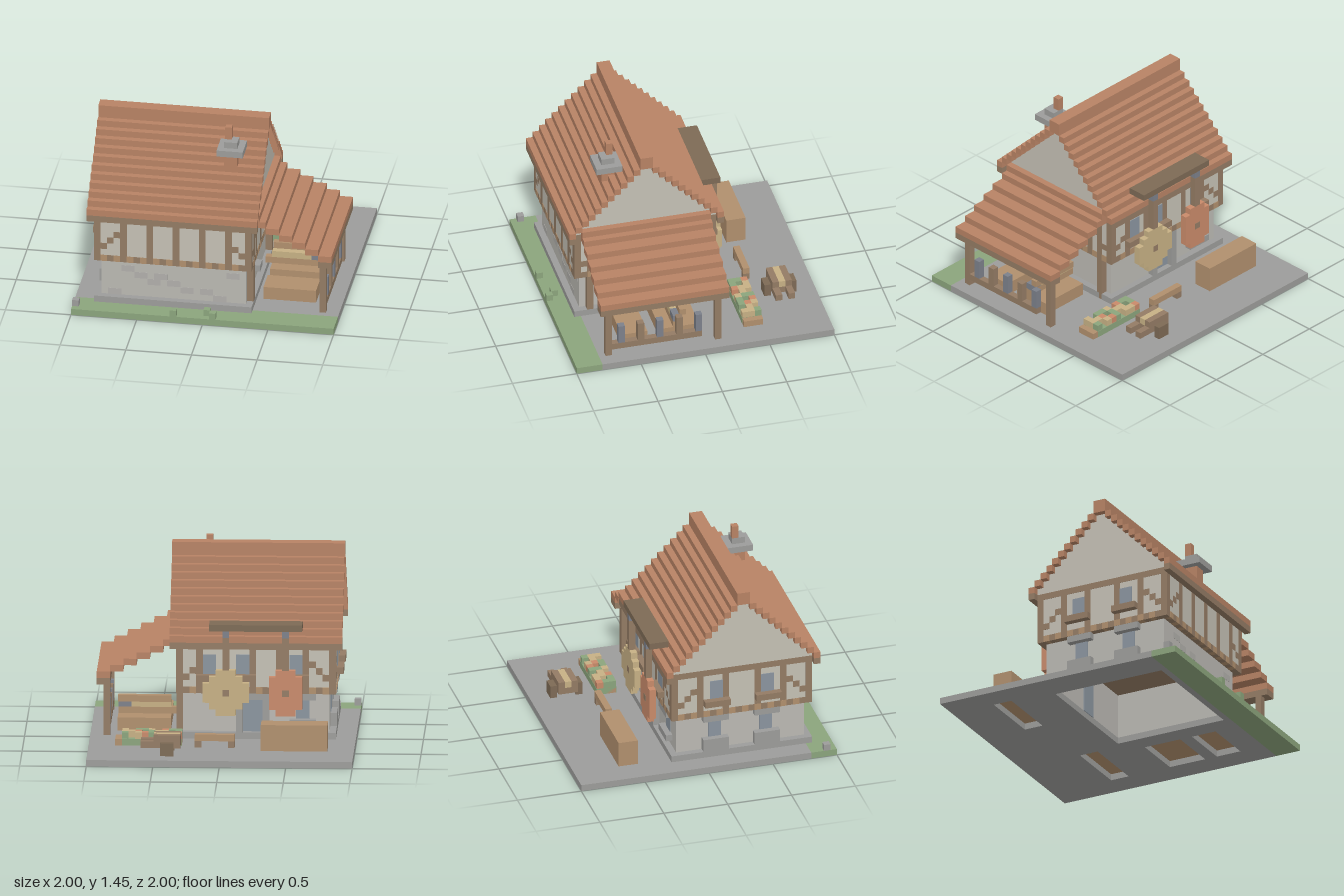
import * as THREE from 'three';

const C = {
  stone: 0xbab8b2, stoneDark: 0xb0aeaa, slab: 0x9c9c9a, grass: 0x8ba47c, plaster: 0xc4c0b4,
  timber: 0x937b64, wood: 0xb08f6d, dark: 0x7d6a55, roof: 0xb78264, straw: 0xc6b084,
  steel: 0x7c808a, coral: 0xc88a6a, glass: 0x8a949e,
};
const mats = {};
const mat = (k) => (mats[k] ??= new THREE.MeshStandardMaterial({ color: C[k], flatShading: true }));

// rectangle traced on the ground plane (shape y is -z)
const trace = (path, x0, x1, z0, z1) => {
  path.moveTo(x0, -z1);
  path.lineTo(x1, -z1);
  path.lineTo(x1, -z0);
  path.lineTo(x0, -z0);
  path.closePath();
  return path;
};

export function createModel() {
  const root = new THREE.Group();
  let group = root;
  const part = (name) => { group = new THREE.Group(); group.name = name; root.add(group); };
  // block given by its two corners on each axis
  const box = (name, k, x0, x1, y0, y1, z0, z1) => {
    const m = new THREE.Mesh(new THREE.BoxGeometry(x1 - x0, y1 - y0, z1 - z0), mat(k));
    m.position.set((x0 + x1) / 2, (y0 + y1) / 2, (z0 + z1) / 2);
    m.name = name;
    group.add(m);
  };
  const cube = (name, k, x, y, z) => box(name, k, x, x + 0.05, y, y + 0.05, z, z + 0.05);

  // ground slab, open beneath the house and the larger objects
  part('ground');
  const outline = trace(new THREE.Shape(), -1, 1, -1, 0.8);
  outline.holes = [
    [-0.75, 0.25, -0.15, 0.75], [0.4, 0.8, 0, 0.3], [0.4, 0.8, 0.4, 0.6],
    [-0.8, -0.3, -0.65, -0.5], [0.3, 0.8, -0.5, -0.35],
  ].map((r) => trace(new THREE.Path(), ...r));
  const paving = new THREE.Mesh(new THREE.ExtrudeGeometry(outline, { depth: 0.05, bevelEnabled: false }), mat('slab'));
  paving.rotation.x = -Math.PI / 2;
  paving.name = 'paving';
  group.add(paving);
  box('grassStrip', 'grass', -1, 1, 0, 0.05, 0.8, 1);
  cube('rock', 'slab', -1, 0.05, 0.9);
  [[-0.25, 0.95], [0, 0.9], [0.05, 0.95]].forEach(([x, z]) => cube('grassTuft', 'grass', x, 0.05, z));

  // hollow stone storey with footing
  part('stoneStorey');
  box('frontWall', 'stone', -0.8, 0.3, 0.05, 0.4, 0.75, 0.8);
  box('backWall', 'stone', -0.8, 0.3, 0.05, 0.4, -0.2, -0.15);
  box('leftWall', 'stone', 0.25, 0.3, 0.05, 0.4, -0.15, 0.75);
  box('rightWall', 'stone', -0.8, -0.75, 0.05, 0.4, -0.15, 0.75);
  for (const [z0, z1] of [[0.8, 0.85], [-0.25, -0.2]]) box('footing', 'slab', -0.85, 0.35, 0.05, 0.1, z0, z1);
  for (const [x0, x1] of [[0.3, 0.35], [-0.85, -0.8]]) box('footing', 'slab', x0, x1, 0.05, 0.1, -0.2, 0.8);
  for (let i = 0; i < 10; i++) {
    const x = -0.75 + ((i * 7) % 19) * 0.05, y = 0.1 + ((i * 3) % 5) * 0.05;
    box('darkStone', 'stoneDark', x, x + 0.1, y, y + 0.05, 0.78, 0.802);
  }

  // timber-framed storey
  part('timberStorey');
  box('plaster', 'plaster', -0.848, 0.348, 0.41, 0.8, -0.248, 0.848);
  box('lowerBeam', 'timber', -0.85, 0.35, 0.4, 0.45, -0.25, 0.85);
  box('upperBeam', 'timber', -0.85, 0.35, 0.75, 0.8, -0.25, 0.85);
  for (let i = 0; i < 12; i++) {
    const x = -0.8 + i * 0.1;
    if (x < 0.3) for (const z of [-0.252, 0.802]) box('joistEnd', 'wood', x, x + 0.05, 0.4, 0.45, z, z + 0.05);
    const z = -0.2 + i * 0.1;
    if (z < 0.8) for (const sx of [-0.852, 0.302]) box('joistEnd', 'wood', sx, sx + 0.05, 0.4, 0.45, z, z + 0.05);
  }
  for (const z of [-0.25, 0.8]) {
    for (const x of [-0.85, -0.65, -0.45, -0.25, -0.05, 0.15, 0.3]) box('stud', 'timber', x, x + 0.05, 0.45, 0.75, z, z + 0.05);
    [0, 1, 2].forEach((i) => {
      cube('brace', 'timber', -0.8 + i * 0.05, 0.5 + i * 0.05, z);
      if (i < 2) cube('brace', 'timber', 0.25 - i * 0.05, 0.5 + i * 0.05, z);
    });
  }
  for (const x of [-0.85, 0.3]) {
    for (const z of [-0.05, 0.15, 0.4, 0.6]) box('stud', 'timber', x, x + 0.05, 0.45, 0.75, z, z + 0.05);
    [0, 1, 2].forEach((i) => {
      cube('brace', 'timber', x, 0.5 + i * 0.05, -0.2 + i * 0.05);
      cube('brace', 'timber', x, 0.5 + i * 0.05, 0.75 - i * 0.05);
    });
  }

  // windows and door
  part('openings');
  for (const z of [0.05, 0.45]) {
    box('upperWindow', 'glass', -0.853, -0.84, 0.55, 0.7, z, z + 0.1);
    box('windowSill', 'timber', -0.9, -0.85, 0.5, 0.55, z - 0.05, z + 0.15);
    box('lowerWindow', 'glass', -0.805, -0.745, 0.2, 0.35, z, z + 0.1);
    box('lintel', 'slab', -0.85, -0.8, 0.35, 0.4, z - 0.05, z + 0.15);
    box('stoneSill', 'slab', -0.85, -0.8, 0.1, 0.2, z - 0.05, z + 0.15);
  }
  for (const x of [-0.6, -0.2, 0.05]) {
    box('upperWindow', 'glass', x, x + 0.1, 0.55, 0.7, -0.253, -0.24);
    box('windowSill', 'timber', x - 0.05, x + 0.15, 0.5, 0.55, -0.3, -0.25);
  }
  box('door', 'glass', -0.3, -0.15, 0.05, 0.35, -0.206, -0.145);
  for (const x of [-0.35, -0.15]) box('doorJamb', 'slab', x, x + 0.05, 0.1, 0.35, -0.25, -0.2);
  box('doorLintel', 'slab', -0.35, -0.1, 0.35, 0.4, -0.25, -0.2);
  box('lowerWindow', 'glass', -0.65, -0.55, 0.2, 0.35, -0.206, -0.145);
  box('stoneSill', 'slab', -0.7, -0.5, 0.15, 0.2, -0.25, -0.2);
  box('lintel', 'slab', -0.7, -0.5, 0.35, 0.4, -0.25, -0.2);
  box('workshopSill', 'slab', 0.3, 0.35, 0.2, 0.25, 0.35, 0.45);

  // stepped main roof with gables filling it row by row
  part('mainRoof');
  for (let i = 0; i < 11; i++) {
    const y = 0.8 + i * 0.05, o = 0.6 - i * 0.05;
    for (const z of [0.25 + o, 0.3 - o]) {
      box('shingleRow', 'roof', -0.9, 0.4, y, y + 0.05, z, z + 0.05);
      if (!i) box('eaveBoard', 'timber', -0.9, 0.4, 0.75, 0.8, z, z + 0.05);
    }
    box('gable', 'plaster', -0.85, 0.35, y, y + 0.05, 0.35 - o, 0.25 + o);
  }
  box('ridge', 'roof', -0.9, 0.4, 1.35, 1.45, 0.25, 0.35);

  part('chimney');
  box('stack', 'roof', 0.1, 0.2, 1.1, 1.25, 0.5, 0.6);
  box('cap', 'slab', 0.05, 0.25, 1.25, 1.3, 0.45, 0.65);
  box('collar', 'slab', 0.1, 0.2, 1.3, 1.35, 0.5, 0.6);
  box('pot', 'roof', 0.1, 0.15, 1.35, 1.45, 0.5, 0.55);

  // lean-to workshop
  part('leanTo');
  box('topRow', 'roof', 0.35, 0.45, 0.75, 0.8, -0.2, 0.8);
  box('flashing', 'roof', 0.35, 0.4, 0.8, 0.85, -0.2, 0.8);
  for (let i = 0; i < 5; i++) {
    const x = 0.45 + i * 0.1, y = 0.7 - i * 0.05;
    box('shingleRow', 'roof', x, x + 0.1, y, y + 0.05, -0.2, 0.8);
  }
  box('lowerEave', 'timber', 0.85, 0.95, 0.45, 0.5, -0.2, 0.8);
  for (const z of [-0.15, 0.7]) {
    box('post', 'timber', 0.85, 0.9, 0.05, 0.45, z, z + 0.05);
    box('wallPost', 'timber', 0.3, 0.35, 0.05, 0.75, z, z + 0.05);
  }

  part('workshop');
  box('rackRail', 'timber', 0.85, 0.9, 0.1, 0.15, 0, 0.7);
  for (let i = 0; i < 5; i++) {
    box('rackTool', i % 2 ? 'timber' : 'steel', 0.85, 0.9, 0.15, 0.3, i * 0.15, i * 0.15 + 0.05);
  }
  box('crate', 'wood', 0.4, 0.8, 0.05, 0.15, 0.4, 0.6);
  box('platform', 'wood', 0.4, 0.8, 0.05, 0.15, 0, 0.3);
  box('lowerPlank', 'wood', 0.35, 0.8, 0.15, 0.2, 0.15, 0.2);
  box('strawPlank', 'straw', 0.4, 0.7, 0.2, 0.25, 0.15, 0.2);
  box('tool', 'steel', 0.7, 0.8, 0.2, 0.25, 0.15, 0.2);
  box('topPlank', 'wood', 0.4, 0.8, 0.25, 0.3, 0.1, 0.15);

  // canopy with two hanging discs
  part('hangingDiscs');
  box('canopy', 'dark', -0.6, 0.1, 0.9, 0.95, -0.35, -0.2);
  const discs = [['straw', -0.025, [1, 2, 3, 3, 3, 2, 1]], ['coral', -0.475, [1, 2, 2, 2, 2, 2, 1]]];
  for (const [k, cx, rows] of discs) {
    rows.forEach((h, i) => {
      const w = (h + 0.5) * 0.05;
      box('disc', k, cx - w, cx + w, 0.25 + i * 0.05, 0.3 + i * 0.05, -0.35, -0.3);
    });
    box('discCentre', 'timber', cx - 0.025, cx + 0.025, 0.4, 0.45, -0.352, -0.298);
    box('hanger', 'timber', cx - 0.025, cx + 0.025, 0.6, 0.85, -0.35, -0.3);
    box('hook', 'steel', cx - 0.025, cx + 0.025, 0.85, 0.9, -0.35, -0.3);
    box('bracket', 'timber', cx - 0.025, cx + 0.025, 0.8, 0.85, -0.3, -0.25);
  }

  // yard furniture
  part('yard');
  box('chest', 'wood', -0.8, -0.3, 0.05, 0.25, -0.65, -0.5);
  box('benchSeat', 'wood', -0.1, 0.2, 0.1, 0.15, -0.55, -0.5);
  for (const x of [-0.1, 0.15]) box('benchLeg', 'timber', x, x + 0.05, 0.05, 0.1, -0.55, -0.5);

  part('handcart');
  box('bed', 'timber', 0.3, 0.5, 0.1, 0.15, -0.8, -0.65);
  for (const z of [-0.8, -0.7]) {
    box('side', 'timber', 0.3, 0.5, 0.15, 0.2, z, z + 0.05);
    box('handle', 'timber', 0.5, 0.6, 0.1, 0.15, z, z + 0.05);
  }
  box('load', 'straw', 0.3, 0.5, 0.15, 0.2, -0.75, -0.7);
  for (const z of [-0.85, -0.65]) box('wheel', 'dark', 0.35, 0.45, 0.05, 0.15, z, z + 0.05);

  part('flowerBed');
  box('soil', 'wood', 0.3, 0.8, 0.05, 0.1, -0.5, -0.35);
  box('leaves', 'grass', 0.3, 0.75, 0.05, 0.102, -0.502, -0.348);
  const kinds = ['coral', 'grass', 'straw', 'grass', 'straw'];
  for (let i = 0; i < 9; i++) for (let j = 0; j < 3; j++) {
    if ((i + 2 * j) % 4 !== 3) cube('flower', kinds[(i * 2 + j * 3) % 5], 0.3 + i * 0.05, 0.1, -0.5 + j * 0.05);
  }
  return root;
}
